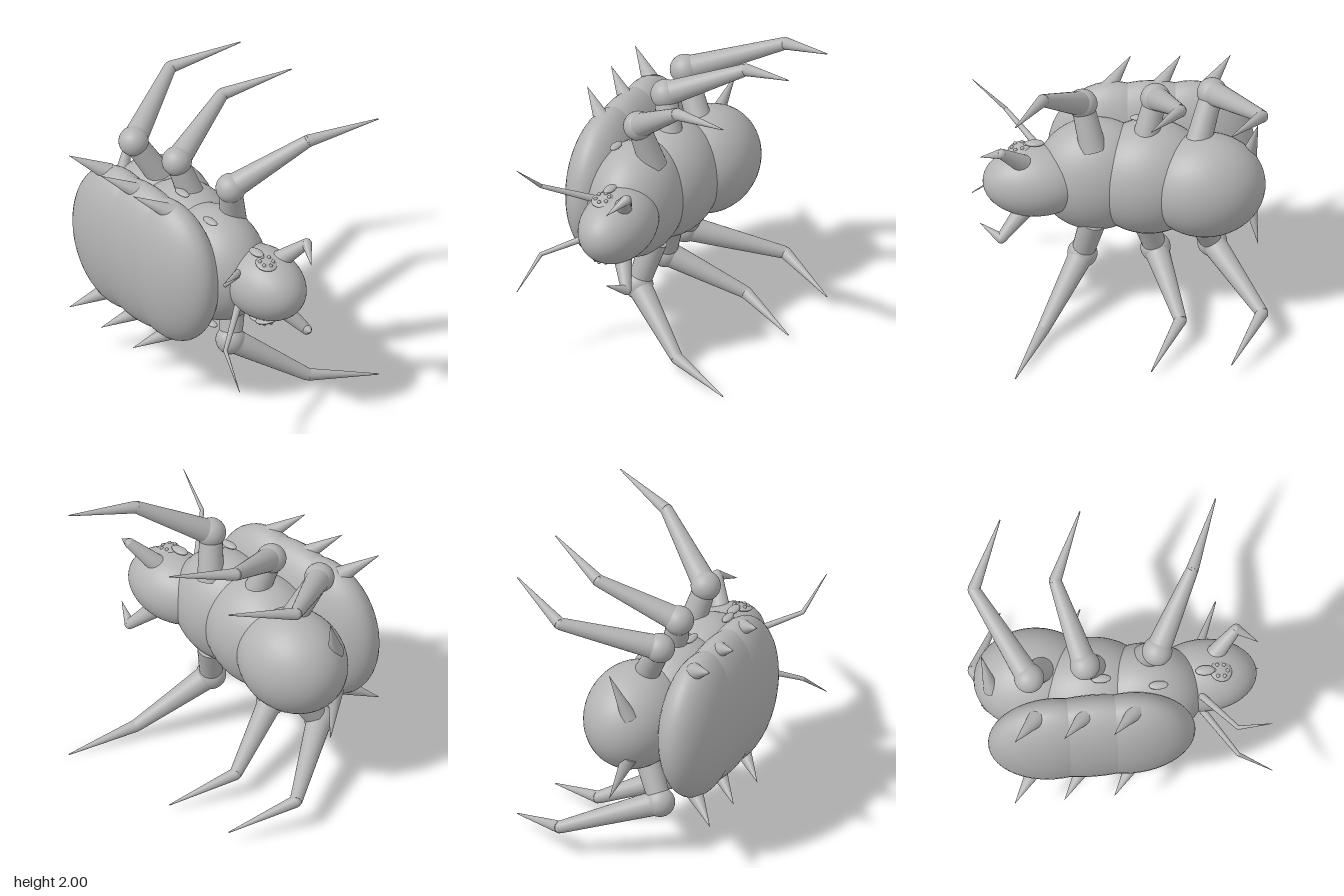
import * as THREE from 'three';

const shellGrey = new THREE.MeshStandardMaterial({ color: 0xb4b4b4 });
shellGrey.name = 'shell grey';

export function createModel() {
  const group = new THREE.Group();
  group.name = 'beetle';

  const add = (name, geometry) => {
    const mesh = new THREE.Mesh(geometry, shellGrey);
    mesh.name = name;
    group.add(mesh);
    return mesh;
  };

  // Smooth ellipsoid with its pole along x
  const ellipsoid = (name, center, radii, segments = 48) => {
    const geometry = new THREE.SphereGeometry(1, segments, segments / 2);
    geometry.rotateZ(Math.PI / 2).scale(...radii);
    const mesh = add(name, geometry);
    mesh.position.set(...center);
    return mesh;
  };

  // Tapered limb from point a (radius ra) to point b (radius rb)
  const limb = (name, a, b, ra, rb, sides = 24) => {
    const start = new THREE.Vector3(...a);
    const dir = new THREE.Vector3(...b).sub(start);
    const length = dir.length();
    const mesh = add(name, new THREE.CylinderGeometry(rb, ra, length, sides));
    mesh.position.copy(start).addScaledVector(dir, 0.5);
    mesh.quaternion.setFromUnitVectors(new THREE.Vector3(0, 1, 0), dir.divideScalar(length));
    return mesh;
  };

  // Body
  ellipsoid('abdomen', [-0.57, 1, 0.07], [0.4, 0.36, 0.33]);
  ellipsoid('rearThorax', [-0.2, 1, 0.18], [0.42, 0.4, 0.34]);
  ellipsoid('frontThorax', [0.15, 1, 0.22], [0.4, 0.4, 0.31]);
  ellipsoid('head', [0.55, 1, 0.14], [0.35, 0.24, 0.24]);

  // Back plates
  ellipsoid('rearShell', [-0.48, 1, 0.505], [0.43, 0.52, 0.215]);
  ellipsoid('middleShell', [-0.22, 1, 0.505], [0.6, 0.525, 0.217]);
  ellipsoid('frontShell', [0.03, 1, 0.505], [0.435, 0.52, 0.215]);

  // root, ball, knee and tip of each leg
  const legs = {
    front: [[0.17, 0.28, 0.08], [0.24, 0.59, 0.16], [0.51, 0.91, -0.28], [0.7, 0.995, -0.73]],
    middle: [[-0.17, 0.3, 0.14], [-0.245, 0.59, 0.22], [-0.4, 0.83, -0.3], [-0.2, 0.95, -0.73]],
    rear: [[-0.5, 0.22, 0.08], [-0.62, 0.59, 0.28], [-0.94, 0.78, -0.3], [-0.73, 0.905, -0.73]],
  };

  // Paired parts, mirrored about the plane y = 1
  for (const s of [1, -1]) {
    const at = ([x, y, z]) => [x, 1 + s * y, z];

    for (const [name, points] of Object.entries(legs)) {
      const [root, ball, knee, tip] = points.map(at);
      limb(name + 'LegBase', root, ball, 0.09, 0.075);
      ellipsoid(name + 'LegJoint', ball, [0.1, 0.1, 0.1], 32);
      limb(name + 'UpperLeg', ball, knee, 0.085, 0.042);
      ellipsoid(name + 'LegKnee', knee, [0.04, 0.04, 0.04], 16);
      limb(name + 'LowerLeg', knee, tip, 0.042, 0.004);
    }

    // Spikes along the shell rim
    for (const x of [-0.59, -0.26, 0.07])
      limb('shellSpike', at([x, 0.46, 0.52]), at([x - 0.16, 0.59, 0.725]), 0.06, 0.001);

    limb('tailSpike', at([-0.86, 0.15, 0.18]), at([-0.92, 0.47, 0.06]), 0.055, 0.001);

    // Antennae
    limb('antennaBase', at([0.52, 0.13, 0.33]), at([0.74, 0.255, 0.62]), 0.025, 0.014, 12);
    ellipsoid('antennaElbow', at([0.74, 0.255, 0.62]), [0.014, 0.014, 0.014], 12);
    limb('antennaTip', at([0.74, 0.255, 0.62]), at([0.96, 0.45, 0.68]), 0.014, 0.002, 12);

    // Jaws
    limb('jawBase', at([0.62, 0.17, 0.07]), at([0.78, 0.335, -0.045]), 0.065, 0.035);
    ellipsoid('jawElbow', at([0.78, 0.335, -0.045]), [0.035, 0.035, 0.035], 16);
    limb('jawTip', at([0.78, 0.335, -0.045]), at([0.92, 0.26, 0.03]), 0.035, 0.001);

    // Eyes: one smooth oval and one cluster of small beads
    ellipsoid('ovalEye', at([0.555, 0.255, 0.2]), [0.065, 0.018, 0.035], 24);
    const pad = ellipsoid('eyePad', at([0.66, 0.218, 0.2]), [0.075, 0.02, 0.075], 24);
    pad.rotation.z = -s * 0.25;
    for (let i = 0; i < 6; i++) {
      const a = i * Math.PI / 3;
      const x = 0.045 * Math.cos(a);
      ellipsoid('eyeBead', at([0.66 + x, 0.235 - 0.25 * x, 0.2 + 0.045 * Math.sin(a)]),
        [0.013, 0.013, 0.013], 12);
    }

    // Breathing holes on the flanks
    ellipsoid('frontBreathingHole', at([0.235, 0.395, 0.33]), [0.065, 0.018, 0.03], 24);
    ellipsoid('rearBreathingHole', at([-0.14, 0.41, 0.26]), [0.065, 0.018, 0.03], 24);
  }
  return group;
}
